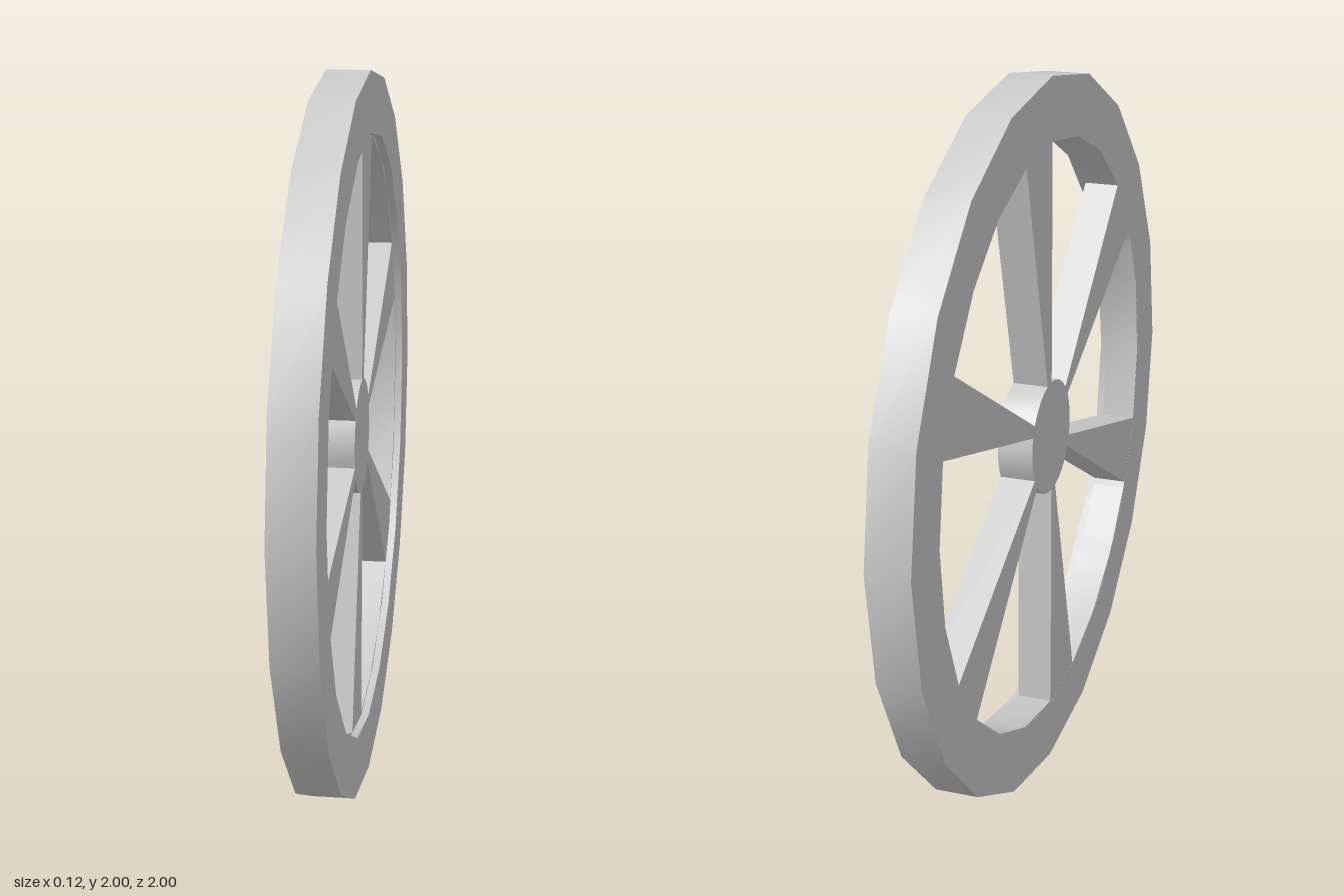
import * as THREE from 'three';
import { toCreasedNormals } from 'three/addons/utils/BufferGeometryUtils.js';

// point at radius r, angle measured clockwise from the top in degrees
const polar = (r, deg) => {
  const a = THREE.MathUtils.degToRad(deg);
  return new THREE.Vector2(r * Math.sin(a), r * Math.cos(a));
};

const arc = (r, from, to, steps) =>
  Array.from({ length: steps + 1 }, (_, i) => polar(r, from + ((to - from) * i) / steps));

// flat shape extruded from x0 to x1, centred on the axle height
function plate(name, shape, x0, x1, material) {
  const geometry = new THREE.ExtrudeGeometry(shape, { depth: x1 - x0, bevelEnabled: false });
  geometry.translate(0, 0, x0).rotateY(Math.PI / 2);
  const mesh = new THREE.Mesh(toCreasedNormals(geometry, 0.6), material);
  mesh.name = name;
  mesh.position.y = 1;
  return mesh;
}

export function createModel() {
  const group = new THREE.Group();
  group.name = 'wheel';
  const material = new THREE.MeshStandardMaterial({ color: 0xcccccc });

  // twenty-sided rim (outline anticlockwise, holes clockwise)
  const rim = new THREE.Shape(arc(1, 342, 0, 19));
  rim.holes.push(new THREE.Path(arc(0.835, 0, 342, 19)));
  group.add(plate('rim', rim, -0.06, 0.06, material));

  // hub and six wedge spokes, left over between six sector openings;
  // flush with the rim on one side and recessed on the other
  const web = new THREE.Shape(arc(0.9, 342, 0, 19));
  for (let i = 0; i < 6; i++) {
    const start = i * 60;
    web.holes.push(new THREE.Path([
      ...arc(0.826, start + 14.2, start + 60, 3),
      ...arc(0.16, start + 60, start + 12, 4),
    ]));
  }
  const spokes = plate('hubAndSpokes', web, -0.0597, 0.039, material);
  spokes.position.z = 0.004;
  group.add(spokes);

  return group;
}
